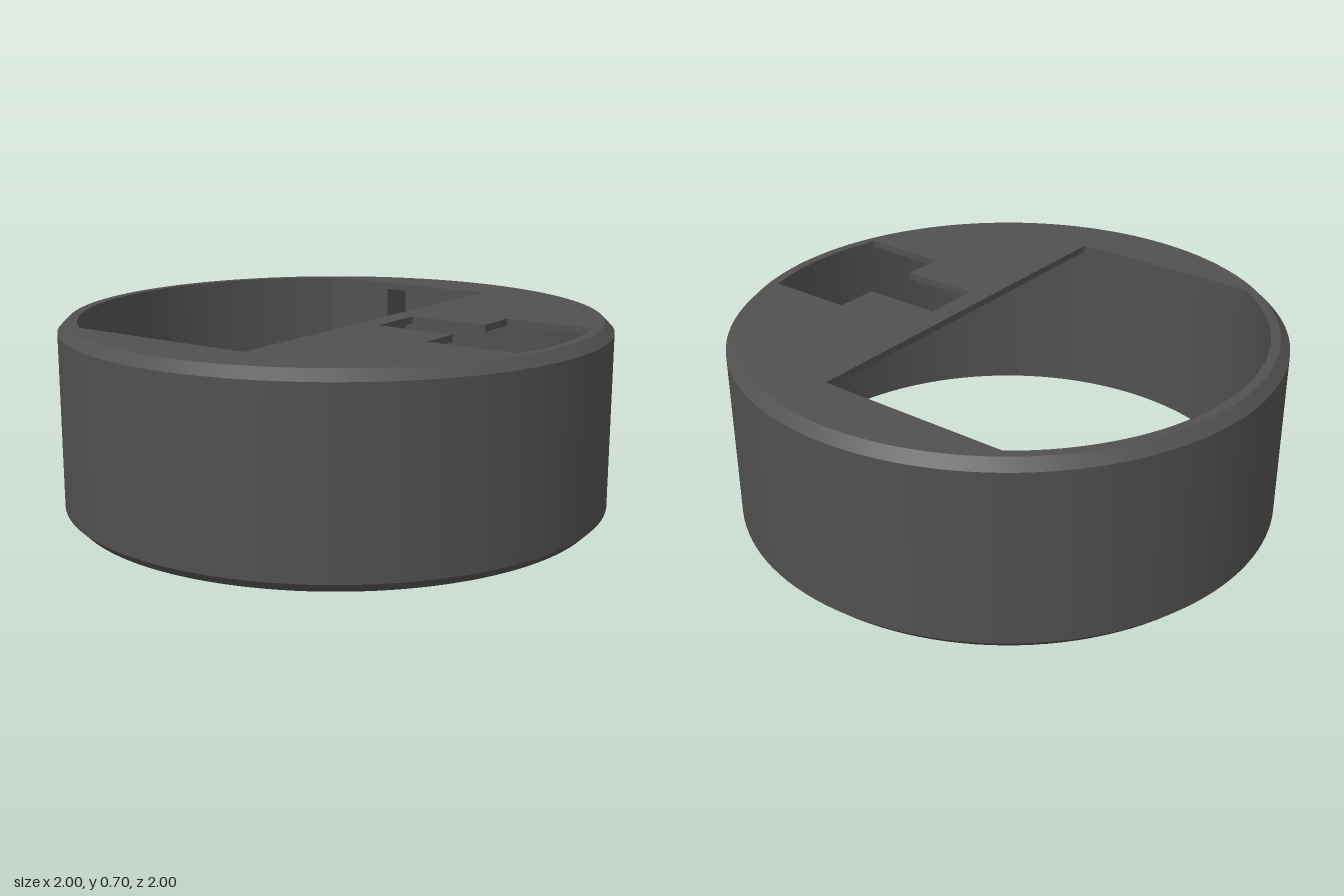
import * as THREE from 'three';
import { toCreasedNormals } from 'three/addons/utils/BufferGeometryUtils.js';

const HEIGHT = 0.705, INNER = 0.93, BEVEL = 0.035;

// Extrudes a plan outline (x, z) downward from the top plane.
function slab(shape, depth) {
  const g = new THREE.ExtrudeGeometry(shape, { depth, bevelEnabled: false, curveSegments: 64 });
  g.rotateX(Math.PI / 2);
  g.translate(0, HEIGHT, 0);
  return toCreasedNormals(g, 0.5);
}

export function createModel() {
  const group = new THREE.Group();
  const darkGrey = new THREE.MeshStandardMaterial({ color: 0x505050 });
  darkGrey.name = 'dark grey';

  const add = (name, geometry) => {
    const mesh = new THREE.Mesh(geometry, darkGrey);
    mesh.name = name;
    group.add(mesh);
  };

  // Outer ring with bevelled rims
  const profile = [
    [INNER, 0], [1 - BEVEL, 0], [1, BEVEL], [1, HEIGHT - BEVEL],
    [1 - BEVEL, HEIGHT], [INNER, HEIGHT], [INNER, 0],
  ].map(([r, y]) => new THREE.Vector2(r, y));
  add('ring', toCreasedNormals(new THREE.LatheGeometry(profile, 128), 0.5));

  // Thin top plate with a large window and a stepped slot; its rim sinks into the ring
  const r = INNER + 0.01;
  const slotAngle = Math.asin(0.27 / r);
  const windowAngle = Math.PI - Math.asin(0.75 / r);
  const plate = new THREE.Shape();
  plate.moveTo(0.18, -0.75);
  plate.lineTo(0.18, 0.75);
  plate.lineTo(r * Math.cos(windowAngle), 0.75);
  plate.absarc(0, 0, r, windowAngle, slotAngle, true);
  plate.lineTo(0.56, 0.27);
  plate.lineTo(0.56, 0.11);
  plate.lineTo(0.26, 0.11);
  plate.lineTo(0.26, -0.11);
  plate.lineTo(0.56, -0.11);
  plate.lineTo(0.56, -0.27);
  plate.lineTo(r * Math.cos(slotAngle), -0.27);
  plate.absarc(0, 0, r, -slotAngle, -windowAngle, true);
  add('topPlate', slab(plate, 0.025));

  // Support block under the rear edge of the window
  const blockEnd = -Math.acos(-0.27 / r);
  const block = new THREE.Shape();
  block.moveTo(-0.27, -0.75);
  block.lineTo(r * Math.cos(windowAngle), -0.75);
  block.absarc(0, 0, r, -windowAngle, blockEnd, false);
  block.closePath();
  const blockGeometry = slab(block, 0.52);
  blockGeometry.translate(0, -0.02, 0);
  add('supportBlock', blockGeometry);

  return group;
}
